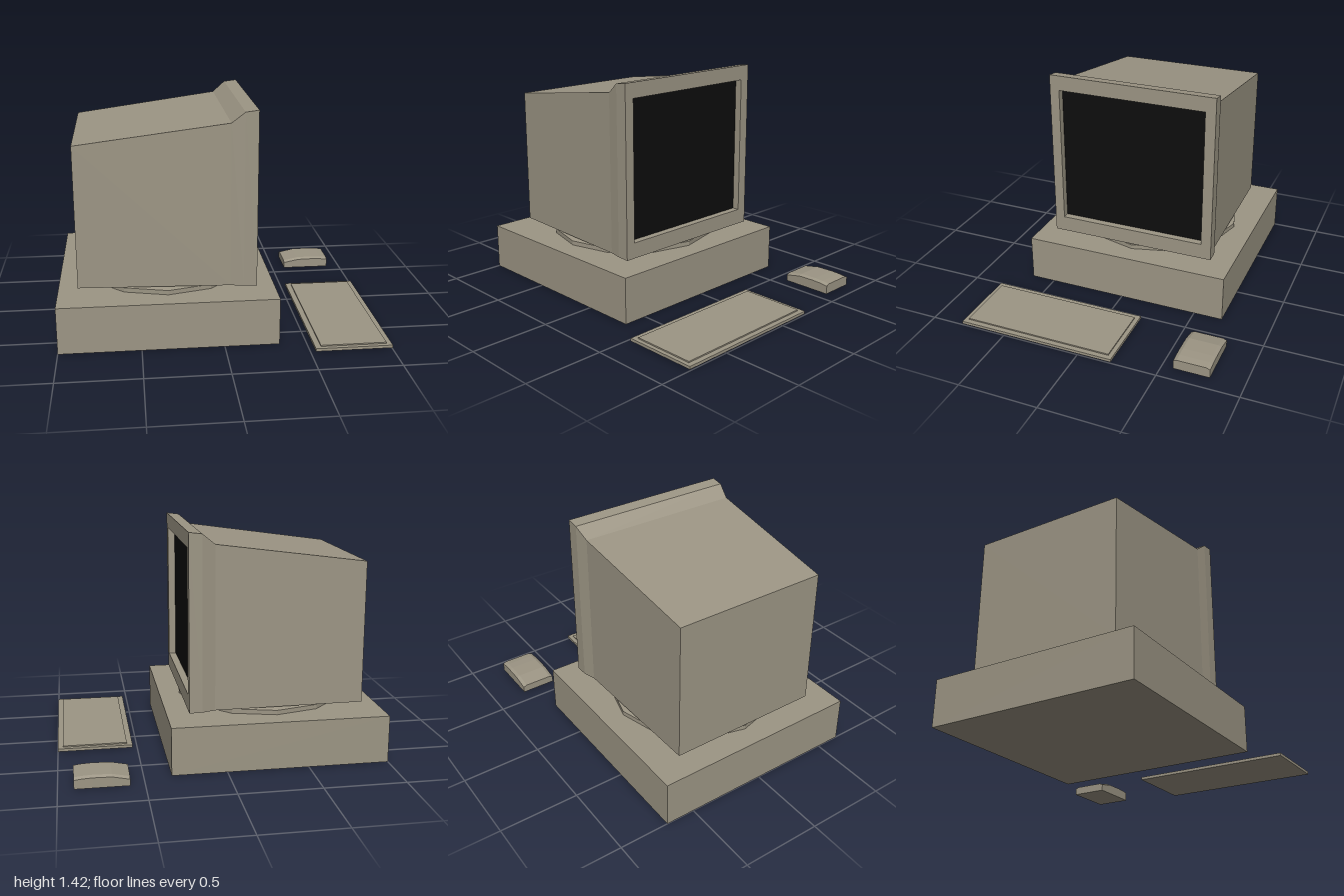
import * as THREE from 'three';

// Skin a list of sections [x, [[y, z], ...]], each ring counter-clockwise seen from +x.
function loft(sections, capEnd) {
  const pos = [];
  const rings = sections.map(([x, ring]) => ring.map(([y, z]) => [x, y, z]));
  const tri = (a, b, c) => pos.push(...a, ...b, ...c);
  for (let s = 0; s < rings.length - 1; s++) {
    const a = rings[s], b = rings[s + 1];
    for (let i = 0; i < a.length; i++) {
      const j = (i + 1) % a.length;
      tri(a[i], a[j], b[j]);
      tri(a[i], b[j], b[i]);
    }
  }
  const first = rings[0], last = rings[rings.length - 1];
  for (let i = 1; i < first.length - 1; i++) {
    tri(first[0], first[i + 1], first[i]);
    if (capEnd) tri(last[0], last[i], last[i + 1]);
  }
  const g = new THREE.BufferGeometry();
  g.setAttribute('position', new THREE.Float32BufferAttribute(pos, 3));
  g.computeVertexNormals();
  return g;
}

const rect = (y0, y1, z0, z1) => [[y0, z1], [y0, z0], [y1, z0], [y1, z1]];

// Box given by its limits on each axis
function slab(x0, x1, y0, y1, z0, z1) {
  return new THREE.BoxGeometry(x1 - x0, y1 - y0, z1 - z0)
    .translate((x0 + x1) / 2, (y0 + y1) / 2, (z0 + z1) / 2);
}

export function createModel() {
  const group = new THREE.Group();
  const beige = new THREE.MeshStandardMaterial({ color: 0x9c9584 });
  beige.name = 'beige plastic';
  const black = new THREE.MeshStandardMaterial({ color: 0x0d0d0d });
  black.name = 'black glass';
  beige.flatShading = true;

  const add = (name, geometry, material = beige) => {
    const mesh = new THREE.Mesh(geometry, material);
    mesh.name = name;
    group.add(mesh);
    return mesh;
  };

  // Desktop case
  add('case', slab(-1, 0.335, 0, 0.295, -0.685, 0.655));

  // Twelve-sided swivel stand: rim, then a shallow cone up to the monitor
  add('swivelRim', new THREE.CylinderGeometry(0.535, 0.535, 0.028, 12)).position.set(-0.33, 0.309, -0.015);
  add('swivelTop', new THREE.CylinderGeometry(0.44, 0.535, 0.017, 12)).position.set(-0.33, 0.3315, -0.015);

  // Monitor shell facing +x, with the front folded back into a screen recess
  const opening = rect(0.435, 1.325, -0.49, 0.465);
  add('monitorShell', loft([
    [-0.875, rect(0.339, 1.22, -0.515, 0.465)],
    [0.05, rect(0.339, 1.345, -0.533, 0.512)],
    [0.13, rect(0.337, 1.41, -0.556, 0.525)],
    [0.21, rect(0.335, 1.42, -0.556, 0.527)],
    [0.21, opening],
    [0.164, opening],
  ], false));

  // Screen
  add('screen', new THREE.PlaneGeometry(0.955, 0.89).rotateY(Math.PI / 2), black)
    .position.set(0.164, 0.88, -0.0125);

  // Keyboard
  add('keyboardBase', slab(0.53, 1, 0.008, 0.026, -0.215, 0.793));
  add('keyboardTop', slab(0.565, 0.967, 0.026, 0.034, -0.187, 0.767));

  // Mouse with arched top and bevelled long edges
  const mouseRing = (h) => [
    [0.003, -0.57], [0.003, -0.795], [h - 0.01, -0.795],
    [h, -0.773], [h, -0.592], [h - 0.01, -0.57],
  ];
  add('mouse', loft([
    [0.587, mouseRing(0.053)],
    [0.69, mouseRing(0.074)],
    [0.80, mouseRing(0.076)],
    [0.86, mouseRing(0.073)],
    [0.908, mouseRing(0.067)],
  ], true));

  return group;
}
